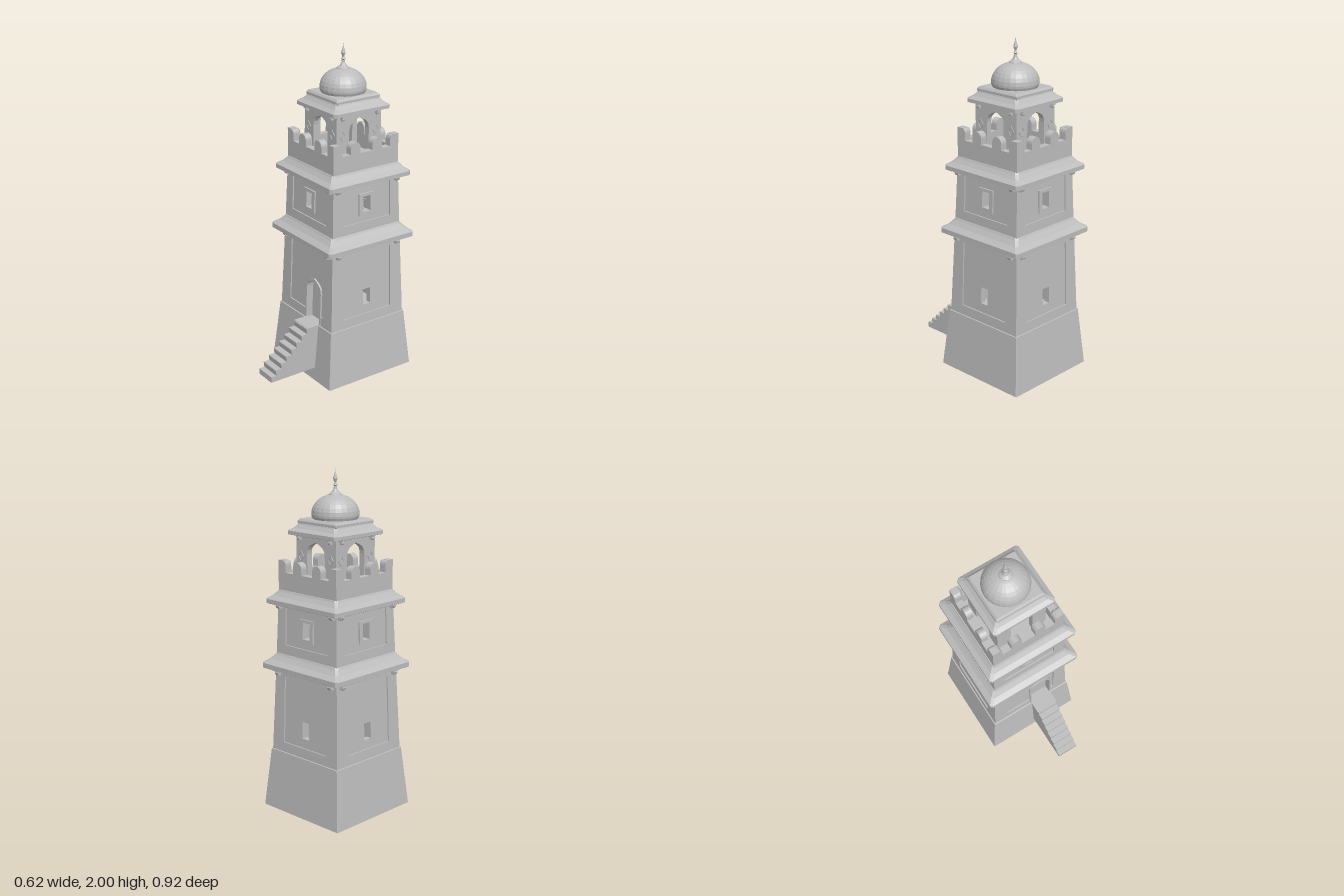
import * as THREE from 'three';

const stone = new THREE.MeshStandardMaterial({ color: 0xbcbcbc, flatShading: true, side: THREE.DoubleSide });
stone.name = 'stone';

const V = (x, y) => new THREE.Vector2(x, y);
const rect = (x0, y0, x1, y1) => [V(x0, y0), V(x1, y0), V(x1, y1), V(x0, y1)];

function add(parent, geo, name, x = 0, y = 0, z = 0) {
  const m = new THREE.Mesh(geo, stone);
  m.name = name;
  m.position.set(x, y, z);
  parent.add(m);
  return m;
}

// Square stack of [halfWidth, y] sections with chamfered corners
function squareLoft(profile, chamfer) {
  const pos = [], idx = [], n = 8;
  for (const [h, y] of profile) {
    const i = h - chamfer;
    for (const [x, z] of [[i, h], [h, i], [h, -i], [i, -h], [-i, -h], [-h, -i], [-h, i], [-i, h]]) pos.push(x, y, z);
  }
  for (let r = 0; r < profile.length - 1; r++)
    for (let k = 0; k < n; k++) {
      const a = r * n + k, b = r * n + (k + 1) % n;
      idx.push(a, b, b + n, a, b + n, a + n);
    }
  const g = new THREE.BufferGeometry();
  g.setAttribute('position', new THREE.Float32BufferAttribute(pos, 3));
  g.setIndex(idx);
  g.computeVertexNormals();
  return g;
}

// Wall plate whose outer face follows a leaning half-width rule
function plate(points, holes, depth, half) {
  const s = new THREE.Shape(points);
  for (const h of holes) s.holes.push(new THREE.Path(h));
  const g = new THREE.ExtrudeGeometry(s, { depth, bevelEnabled: false });
  const p = g.attributes.position;
  for (let i = 0; i < p.count; i++) p.setZ(i, p.getZ(i) - depth + half(p.getY(i)));
  g.computeVertexNormals();
  return g;
}

// Pointed arch outline, left foot to right foot
function arch(cx, w, y0, spring, apex) {
  const p = new THREE.Path(), r = apex - spring;
  p.moveTo(cx - w, y0);
  p.lineTo(cx - w, spring);
  p.bezierCurveTo(cx - w, spring + r * 0.75, cx - w * 0.35, apex - r * 0.2, cx, apex);
  p.bezierCurveTo(cx + w * 0.35, apex - r * 0.2, cx + w, spring + r * 0.75, cx + w, spring);
  p.lineTo(cx + w, y0);
  return p.getPoints(6);
}

function fourSides(parent, name, build) {
  for (let k = 0; k < 4; k++) {
    const side = new THREE.Group();
    side.name = name;
    side.rotation.y = k * Math.PI / 2;
    build(side, k);
    parent.add(side);
  }
}

// Sloping eave: wall half-width, outer half-width, lip bottom, top
function eave(parent, name, w, o, y0, yT) {
  const h = yT - y0, d = o - w;
  add(parent, squareLoft([
    [w - 0.03, y0 + h * 0.25], [o - 0.02, y0 + h * 0.25], [o - 0.012, y0], [o, y0 + h * 0.06], [o, y0 + h * 0.36],
    [w + d * 0.5, y0 + h * 0.6], [w + d * 0.16, y0 + h * 0.88], [w + 0.004, yT], [w - 0.05, yT],
  ], 0.014), name);
}

// Scroll bracket pair beneath an eave
function brackets(side, x, yTop, half, s) {
  for (const sx of [-x, x]) {
    add(side, new THREE.BoxGeometry(0.03 * s, 0.03 * s, 0.045 * s), 'bracket', sx, yTop - 0.015 * s, half + 0.018 * s);
    const c = new THREE.CylinderGeometry(0.017 * s, 0.017 * s, 0.026 * s, 10).rotateZ(Math.PI / 2);
    add(side, c, 'bracketScroll', sx, yTop - 0.042 * s, half + 0.014 * s);
  }
}

export function createModel() {
  const model = new THREE.Group();
  model.name = 'watchtower';
  const tower = new THREE.Group();
  tower.name = 'tower';
  tower.position.z = -0.152;
  model.add(tower);

  // Open-bottomed battered base with a floor on top
  add(tower, squareLoft([[0.306, 0], [0.273, 0.355], [0.255, 0.358]], 0.003), 'base');
  add(tower, new THREE.BoxGeometry(0.53, 0.012, 0.53), 'floor', 0, 0.352, 0);

  // Two leaning storeys with sunken panels
  const storeys = [
    { y0: 0.355, y1: 0.9, h0: 0.266, h1: 0.245, p0: 0.415, p1: 0.81, win: rect(-0.027, 0.47, 0.027, 0.57) },
    { y0: 0.92, y1: 1.29, h0: 0.244, h1: 0.231, p0: 1.0, p1: 1.24, win: rect(-0.027, 1.06, 0.027, 1.155) },
  ];
  const doorX = 0.074;
  storeys.forEach((s, level) => {
    const half = y => s.h0 + (s.h1 - s.h0) * (y - s.y0) / (s.y1 - s.y0);
    const inner = y => half(y) - 0.008;
    const outline = f => [V(-f(s.y0), s.y0), V(f(s.y0), s.y0), V(f(s.y1), s.y1), V(-f(s.y1), s.y1)];
    fourSides(tower, level ? 'upperStorey' : 'lowerStorey', (side, k) => {
      const hasDoor = level === 0 && k === 0;
      const panel = rect(-0.172, s.p0, 0.172, s.p1);
      if (hasDoor) panel.splice(1, 0, V(-0.004, s.p0), V(-0.004, 0.358), V(0.152, 0.358), V(0.152, s.p0));
      const opening = hasDoor ? arch(doorX, 0.067, 0.359, 0.56, 0.622) : s.win;
      add(side, plate(outline(inner), [opening], 0.035, inner), 'wall');
      add(side, plate(outline(half), [panel], 0.008, half), 'panelSurround');
      if (hasDoor) {
        const trim = arch(doorX, 0.076, 0.358, 0.56, 0.636).concat(arch(doorX, 0.067, 0.358, 0.56, 0.622).reverse());
        add(side, plate(trim, [], 0.012, y => half(y) + 0.003), 'doorTrim');
        add(side, plate(rect(-0.01, 0.356, 0.16, 0.66), [], 0.008, y => half(y) - 0.042), 'door');
      }
      if (level) add(side, plate(rect(-0.053, 1.04, 0.053, 1.172), [s.win], 0.012, y => half(y) + 0.002), 'windowFrame');
      const top = level ? 1.268 : 0.873;
      brackets(side, level ? 0.212 : 0.214, top, half(top), 1);
    });
  });
  eave(tower, 'lowerEave', 0.243, 0.308, 0.85, 0.945);
  eave(tower, 'upperEave', 0.231, 0.288, 1.235, 1.318);

  // Ladder inside the upper room
  for (const x of [-0.017, 0.017]) add(tower, new THREE.BoxGeometry(0.005, 0.36, 0.006), 'ladderRail', x, 1.1, -0.17);
  for (let i = 0; i < 6; i++) add(tower, new THREE.BoxGeometry(0.034, 0.009, 0.008), 'ladderRung', 0, 0.96 + i * 0.06, -0.17);

  // Roof terrace and parapet with round-headed merlons
  add(tower, new THREE.BoxGeometry(0.44, 0.02, 0.44), 'terrace', 0, 1.32, 0);
  const low = 1.42, high = 1.489, r = 0.03;
  const parapet = new THREE.Shape();
  parapet.moveTo(-0.23, 1.3);
  parapet.lineTo(0.23, 1.3);
  parapet.lineTo(0.23, high);
  parapet.lineTo(0.17 + r, high);
  parapet.quadraticCurveTo(0.17, high, 0.17, high - r);
  parapet.lineTo(0.17, low);
  for (const x of [0.077, -0.077]) {
    parapet.lineTo(x + 0.034, low);
    parapet.lineTo(x + 0.034, high - 0.034);
    parapet.absarc(x, high - 0.034, 0.034, 0, Math.PI, false);
    parapet.lineTo(x - 0.034, low);
  }
  parapet.lineTo(-0.17, low);
  parapet.lineTo(-0.17, high - r);
  parapet.quadraticCurveTo(-0.17, high, -0.17 - r, high);
  parapet.lineTo(-0.23, high);
  fourSides(tower, 'parapet', side =>
    add(side, plate(parapet.getPoints(5), [], 0.042, () => 0.23), 'crenellation'));

  // Arched kiosk
  fourSides(tower, 'kiosk', side => {
    const w = 0.157;
    const pts = [V(-w, 1.33), ...arch(0, 0.07, 1.33, 1.53, 1.604), V(w, 1.33), V(w, 1.66), V(-w, 1.66)];
    add(side, plate(pts, [], 0.035, () => w), 'kioskArch');
    for (const x of [-0.118, 0.118]) {
      const diamond = (a, b) => [V(x, 1.515 - b), V(x + a, 1.515), V(x, 1.515 + b), V(x - a, 1.515)];
      add(side, plate(diamond(0.023, 0.032), [diamond(0.017, 0.024)], 0.005, () => w + 0.004), 'diamondOrnament');
    }
    brackets(side, 0.122, 1.643, w, 0.65);
  });
  eave(tower, 'kioskEave', 0.147, 0.196, 1.632, 1.7);
  add(tower, squareLoft([[0.147, 1.69], [0.152, 1.7], [0.152, 1.712], [0.142, 1.724], [0.003, 1.724]], 0.003), 'domePlinth');
  add(tower, new THREE.BoxGeometry(0.3, 0.01, 0.3), 'kioskCeiling', 0, 1.652, 0);

  // Dome and finial
  const dome = [V(0.128, 1.722), V(0.135, 1.738)];
  for (let i = 0; i <= 8; i++) {
    const a = i / 8 * Math.PI / 2;
    dome.push(V(0.136 * Math.cos(a) + 0.0001, 1.75 + 0.112 * Math.sin(a)));
  }
  add(tower, new THREE.LatheGeometry(dome, 24), 'dome');
  const finial = [[0.04, 1.852], [0.037, 1.862], [0.02, 1.874], [0.011, 1.89], [0.008, 1.906], [0.013, 1.912], [0.006, 1.92],
    [0.006, 1.928], [0.013, 1.946], [0.009, 1.96], [0.003, 1.98], [0.0005, 2]].map(([x, y]) => V(x, y));
  add(tower, new THREE.LatheGeometry(finial, 12), 'finial');

  // Entrance stair: stepped side profile swept across its width
  const steps = [V(0.11, 0.08), V(0.458, 0.08)];
  for (let i = 0; i < 8; i++) {
    const z = 0.458 - i * 0.0365, y = 0.08 + (i + 1) * 0.035;
    steps.push(V(z + (i ? 0.004 : 0), y - 0.008), V(z + (i ? 0.004 : 0), y));
    if (i < 7) steps.push(V(z - 0.0365, y));
  }
  steps.push(V(0.09, 0.36));
  const stair = new THREE.ExtrudeGeometry(new THREE.Shape(steps), { depth: 0.134, bevelEnabled: false });
  stair.rotateY(-Math.PI / 2);
  add(model, stair, 'entranceStair', 0.141, 0, 0);
  add(model, new THREE.BoxGeometry(0.142, 0.012, 0.1), 'landing', 0.074, 0.356, 0.15);

  return model;
}
